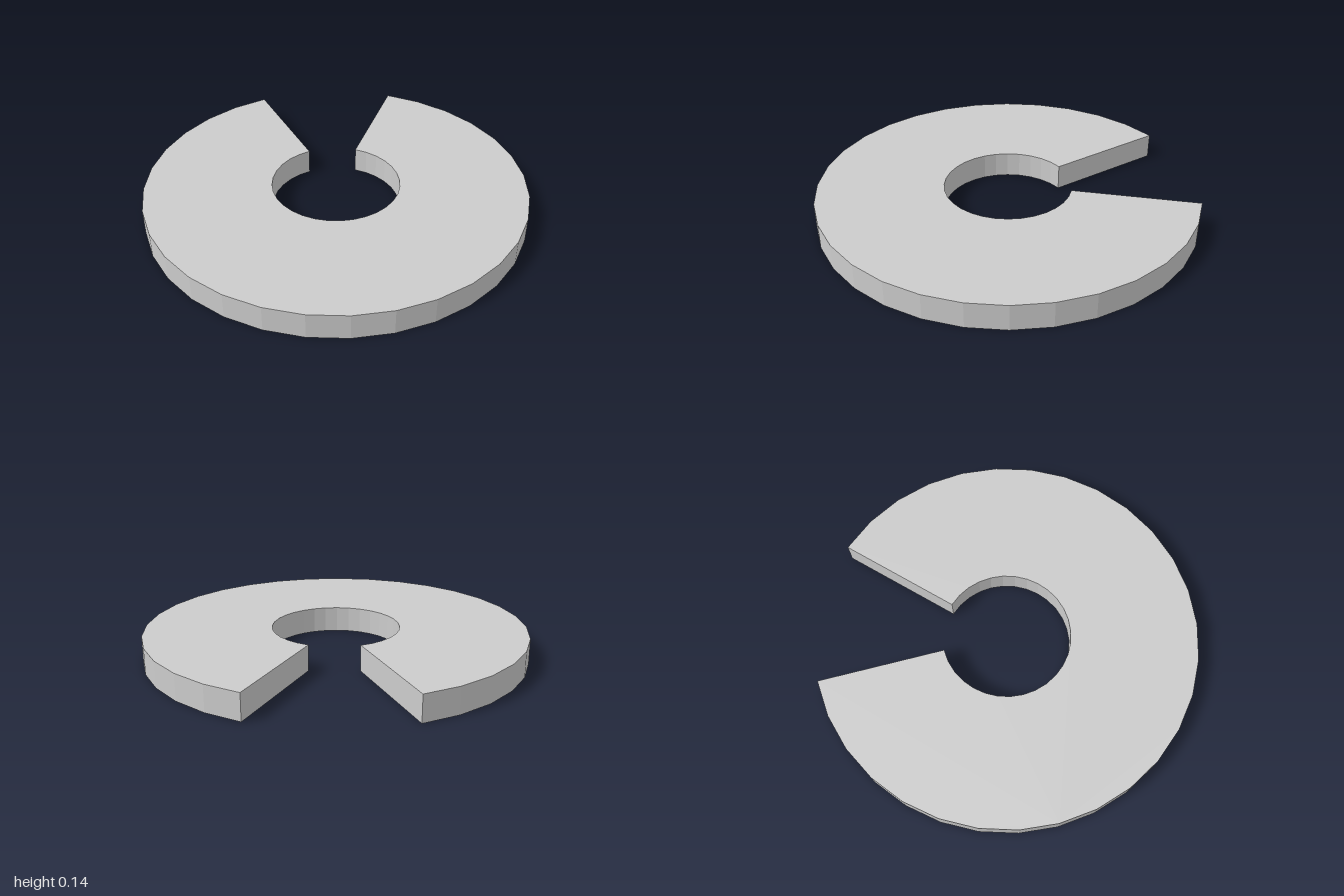
import * as THREE from 'three';

const SIDES = 32;      // facets of the full circle
const FIRST = 7;       // facet index where the ring starts, after the gap
const COUNT = 28;      // facets present (4 are left out for the slot)
const OUTER = 1, INNER = 0.335, HEIGHT = 0.135;

// Points along one arc of the ring
function arc(radius) {
  return Array.from({ length: COUNT + 1 }, (_, i) => {
    const a = ((FIRST + i) / SIDES) * Math.PI * 2;
    return new THREE.Vector2(Math.cos(a) * radius, Math.sin(a) * radius);
  });
}

export function createModel() {
  const group = new THREE.Group();
  group.name = 'slottedWasher';

  // Flat ring with a wedge-shaped opening at the back left
  const outline = new THREE.Shape([...arc(OUTER), ...arc(INNER).reverse()]);
  const geometry = new THREE.ExtrudeGeometry(outline, { depth: HEIGHT, bevelEnabled: false });
  geometry.rotateX(-Math.PI / 2);

  const ring = new THREE.Mesh(
    geometry,
    new THREE.MeshStandardMaterial({ color: 0xcccccc, flatShading: true })
  );
  ring.name = 'openRing';
  group.add(ring);
  return group;
}
